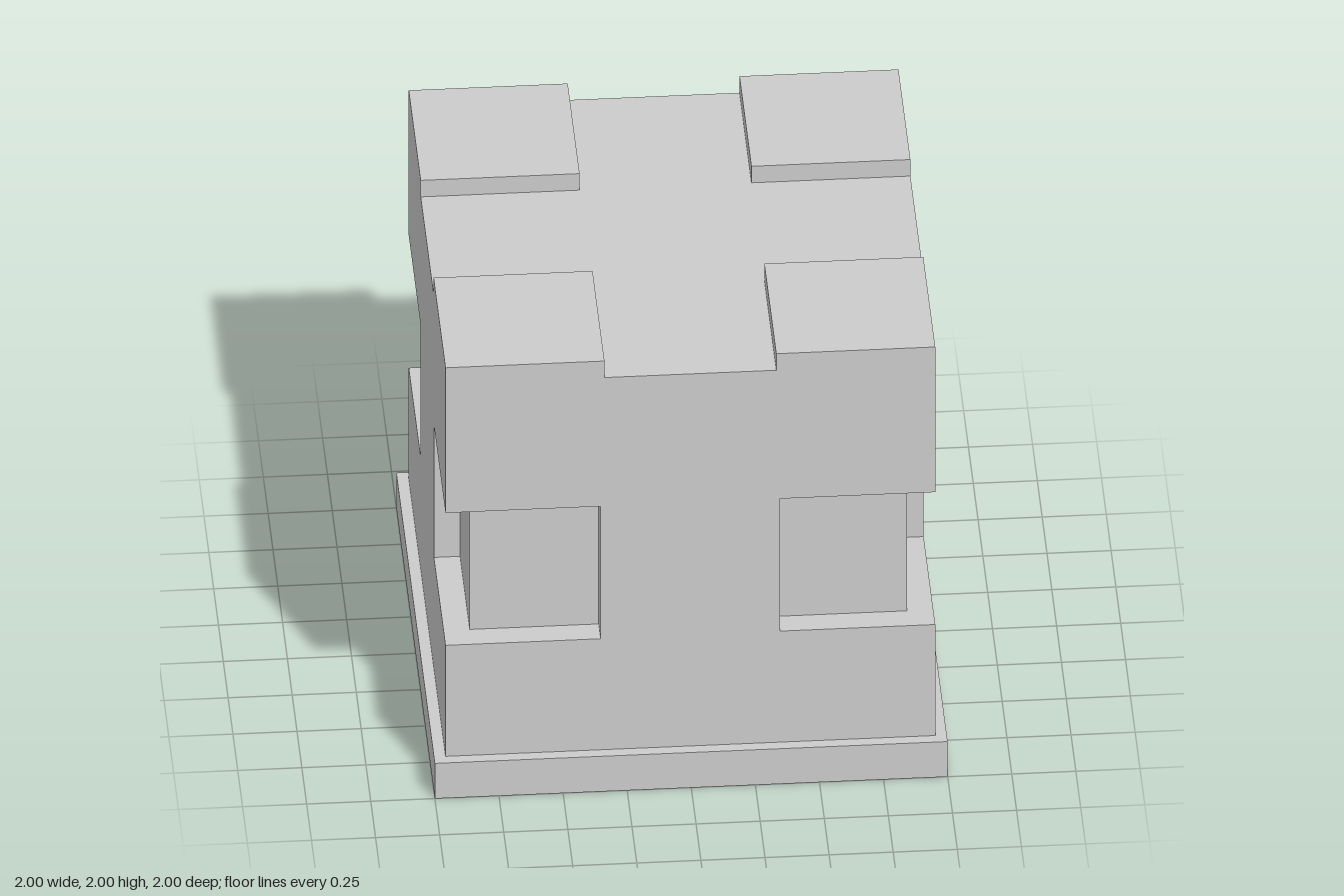
import * as THREE from 'three';

const material = new THREE.MeshStandardMaterial({ color: 0xcccccc, flatShading: true });

const HALF = 0.955;    // half width of the block
const NOTCH = 0.35;    // where the corner recesses begin
const CORE = 0.853;    // half width inside the recesses
const PAD = 0.335;     // inner edge of the top pads

export function createModel() {
  const model = new THREE.Group();

  const add = (name, geometry, x = 0, y = 0, z = 0) => {
    const mesh = new THREE.Mesh(geometry, material);
    mesh.name = name;
    mesh.position.set(x, y, z);
    model.add(mesh);
  };

  // Square slab between two heights
  const slab = (name, width, y0, y1, x = 0, z = 0) =>
    add(name, new THREE.BoxGeometry(width, y1 - y0, width), x, (y0 + y1) / 2, z);

  slab('basePlate', 2, 0, 0.166);
  slab('lowerBlock', 2 * HALF, 0.166, 0.69);
  slab('upperBlock', 2 * HALF, 1.315, 1.922);

  // Middle band: a square with a shallow recess wrapped around each corner
  const points = [];
  for (let i = 0; i < 4; i++) {
    for (const [x, y] of [[HALF, -NOTCH], [HALF, NOTCH], [CORE, NOTCH], [CORE, CORE], [NOTCH, CORE]]) {
      points.push(new THREE.Vector2(x, y).rotateAround(new THREE.Vector2(), i * Math.PI / 2));
    }
  }
  const band = new THREE.ExtrudeGeometry(new THREE.Shape(points), { depth: 1.315 - 0.69, bevelEnabled: false });
  band.rotateX(-Math.PI / 2);
  add('recessedBand', band, 0, 0.69, 0);

  // Raised pads on the four top corners
  const center = (HALF + PAD) / 2;
  for (const sx of [-1, 1]) {
    for (const sz of [-1, 1]) {
      const name = (sz > 0 ? 'front' : 'back') + (sx > 0 ? 'Left' : 'Right') + 'Pad';
      slab(name, HALF - PAD, 1.922, 2, sx * center, sz * center);
    }
  }

  return model;
}
